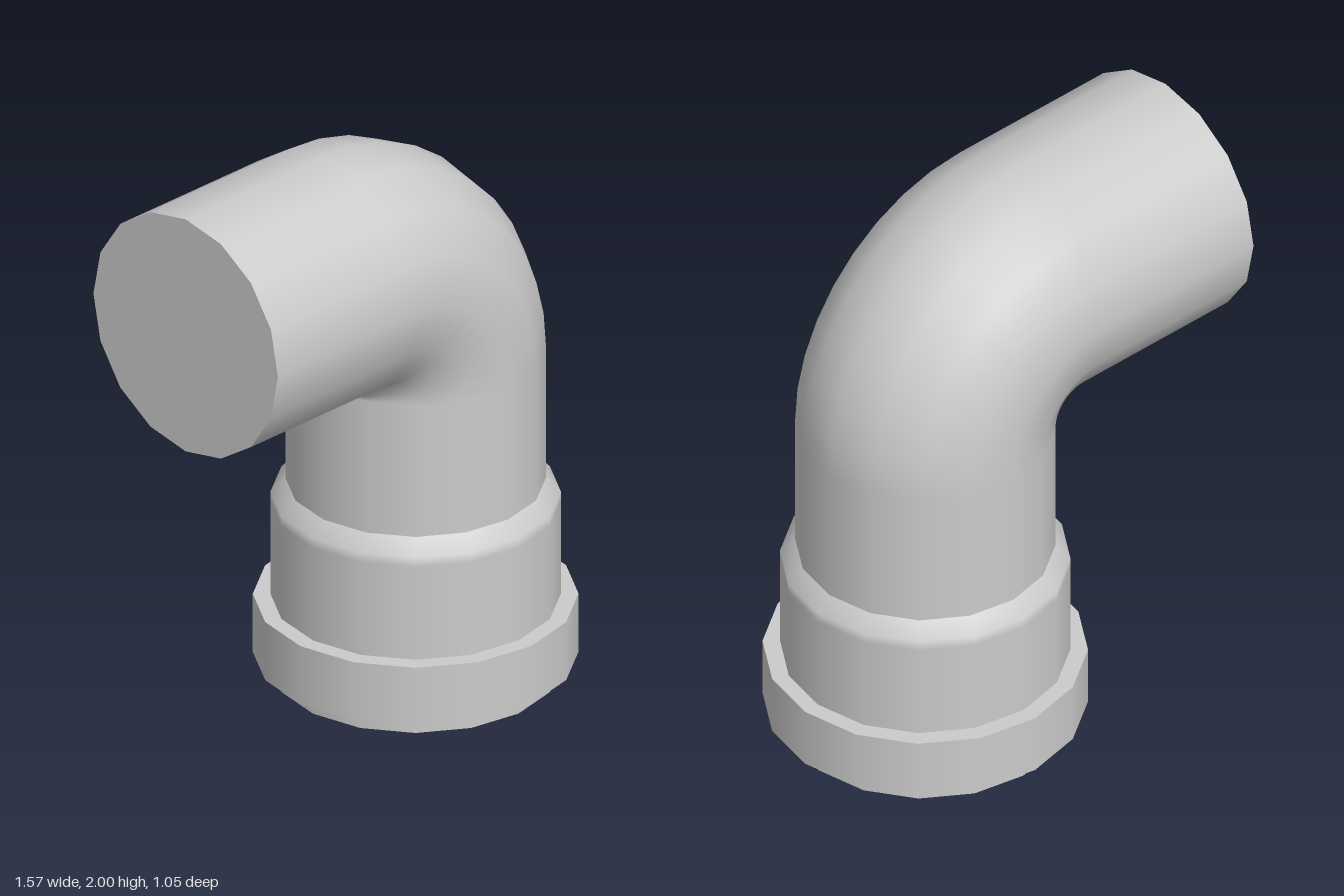
import * as THREE from 'three';

const SIDES = 16;
const PIPE_R = 0.42;      // pipe radius, also the bend radius
const AXIS_X = 0.262;     // axis of the upright run
const BEND_X = AXIS_X - PIPE_R;
const BEND_Y = 1.16;

export function createModel() {
  const model = new THREE.Group();
  const material = new THREE.MeshStandardMaterial({ color: 0xcccccc });

  const add = (name, geometry, x, y) => {
    const mesh = new THREE.Mesh(geometry, material);
    mesh.name = name;
    mesh.position.set(x, y, 0);
    model.add(mesh);
    return mesh;
  };

  // Upright cylinder between two heights
  const upright = (name, radius, y0, y1, open) =>
    add(name, new THREE.CylinderGeometry(radius, radius, y1 - y0, SIDES, 1, open), AXIS_X, (y0 + y1) / 2);

  // Socket with softly shaded chamfered shoulder, closed below
  const socketProfile = [[0.468, 0], [0.468, 0.6], [0.468, 0.635], [PIPE_R, 0.685]]
    .map(([r, y]) => new THREE.Vector2(r, y));
  add('socket', new THREE.LatheGeometry(socketProfile, SIDES), AXIS_X, 0);
  add('socketBottom', new THREE.CircleGeometry(0.468, SIDES), AXIS_X, 0).rotation.x = Math.PI / 2;

  // Collar around the socket mouth
  upright('collar', 0.525, 0.055, 0.265, false);

  // Upright run from the socket shoulder to the bend
  upright('uprightPipe', PIPE_R, 0.685, BEND_Y, true);

  // Tight quarter bend, its inner radius closing to a point
  add('elbow', new THREE.TorusGeometry(PIPE_R, PIPE_R, SIDES, 9, Math.PI / 2), BEND_X, BEND_Y);

  // Horizontal run with a closed end
  const endX = -0.787;
  const runY = BEND_Y + PIPE_R;
  const run = new THREE.CylinderGeometry(PIPE_R, PIPE_R, BEND_X - endX, SIDES, 1, true);
  add('horizontalPipe', run, (endX + BEND_X) / 2, runY).rotation.z = Math.PI / 2;
  add('pipeEnd', new THREE.CircleGeometry(PIPE_R, SIDES), endX, runY).rotation.y = -Math.PI / 2;

  return model;
}
